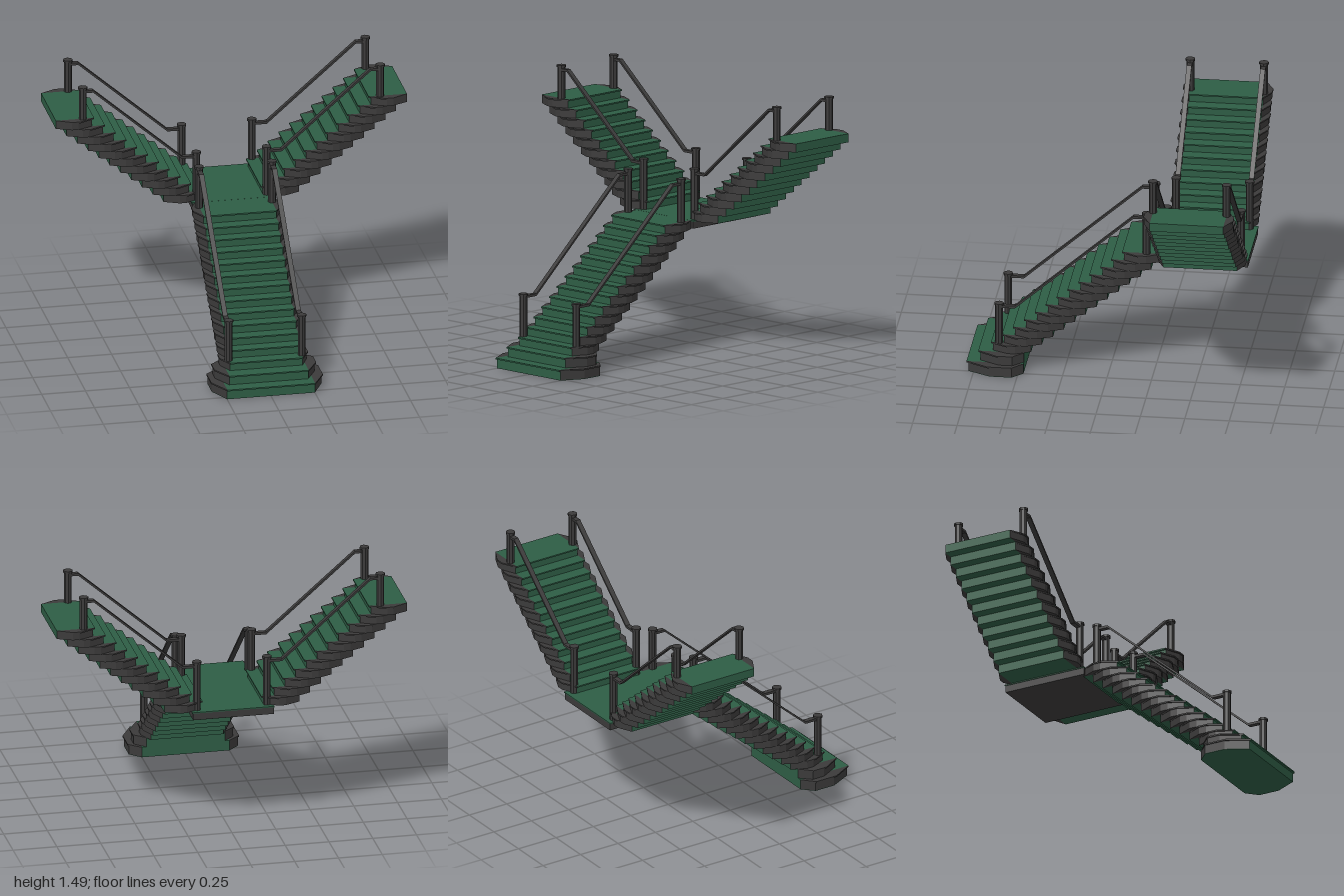
import * as THREE from 'three';

const green = new THREE.MeshStandardMaterial({ color: 0x2e5d45 });
green.name = 'green runner';
const dark = new THREE.MeshStandardMaterial({ color: 0x3b3a3a });
dark.name = 'dark frame';

function add(parent, name, geometry, material) {
  const mesh = new THREE.Mesh(geometry, material);
  mesh.name = name;
  parent.add(mesh);
  return mesh;
}

// Slab with a green middle and dark chamfered ends; its front faces +z
function slab(parent, name, s) {
  const { y0, y1, front, back, inner, outer, cf, cb, endMaterial = dark } = s;
  const h = y1 - y0;
  const mid = add(parent, name, new THREE.BoxGeometry(inner * 2, h, front - back), green);
  mid.position.set(0, (y0 + y1) / 2, (front + back) / 2);
  for (const side of [-1, 1]) {
    const plan = new THREE.Shape([
      [inner, front], [outer, front - cf], [outer, back + cb], [inner, back],
    ].map(([x, z]) => new THREE.Vector2(side * x, -z)));
    const geo = new THREE.ExtrudeGeometry(plan, { depth: h, bevelEnabled: false });
    geo.rotateX(-Math.PI / 2).translate(0, y0, 0);
    add(parent, name + 'End', geo, endMaterial);
  }
}

// Step: a body with a thin tread overhanging its front and sides
function step(parent, s) {
  const lip = 0.008, over = 0.012;
  slab(parent, 'riser', { ...s, y1: s.y1 - lip, front: s.front - over, outer: s.outer - over / 2 });
  slab(parent, 'tread', { ...s, y0: s.y1 - lip });
}

// Evenly climbing run of steps, going towards -z
function steps(parent, count, y, rise, front, run, depth) {
  for (let i = 0; i < count; i++) {
    step(parent, {
      y0: y + i * rise, y1: y + (i + 1) * rise,
      front: front - i * run, back: front - i * run - depth,
      inner: 0.207, outer: 0.252, cf: 0.085, cb: 0.085,
    });
  }
}

// Eight-sided post with a small cap
function post(parent, x, z, y0, y1) {
  const shaft = add(parent, 'post', new THREE.CylinderGeometry(0.022, 0.022, y1 - y0, 8), dark);
  shaft.position.set(x, (y0 + y1) / 2, z);
  const cap = add(parent, 'postCap', new THREE.CylinderGeometry(0.027, 0.027, 0.012, 8), dark);
  cap.position.set(x, y1 - 0.006, z);
  dark.flatShading = true;
}

// Flat handrail that follows [distance, height] points
function rail(parent, x, points) {
  const t = 0.007, width = 0.028;
  const lower = points.map(([d, y]) => new THREE.Vector2(d, y - t));
  const upper = points.map(([d, y]) => new THREE.Vector2(d, y + t)).reverse();
  const geo = new THREE.ExtrudeGeometry(new THREE.Shape([...lower, ...upper]),
    { depth: width, bevelEnabled: false });
  geo.translate(0, 0, -width / 2).rotateY(Math.PI / 2).translate(x, 0, 0);
  add(parent, 'handrail', geo, dark);
}

export function createModel() {
  const model = new THREE.Group();
  model.name = 'splitStaircase';

  // Main flight with two wide starting steps
  const main = new THREE.Group();
  main.name = 'mainFlight';
  step(main, { y0: 0.003, y1: 0.06, front: 0.79, back: 0.47, inner: 0.25, outer: 0.318, cf: 0.125, cb: 0.06 });
  slab(main, 'base', {
    y0: 0, y1: 0.003, front: 0.778, back: 0.47, inner: 0.25, outer: 0.312, cf: 0.125, cb: 0.06,
    endMaterial: green,
  });
  step(main, { y0: 0.06, y1: 0.116, front: 0.727, back: 0.47, inner: 0.225, outer: 0.29, cf: 0.11, cb: 0.06 });
  steps(main, 13, 0.116, 0.0492, 0.657, 0.0614, 0.225);
  for (const x of [-0.208, 0.208]) {
    post(main, x, 0.612, 0.16, 0.408);
    post(main, x, -0.218, 0.75, 1.003);
    rail(main, x, [[-0.612, 0.39], [-0.522, 0.39], [0.145, 0.975], [0.218, 0.975]]);
  }
  model.add(main);

  // Landing
  const base = add(model, 'landingBase', new THREE.BoxGeometry(0.46, 0.04, 0.5), dark);
  base.position.set(0, 0.73, -0.54);
  const top = add(model, 'landingTop', new THREE.BoxGeometry(0.47, 0.006, 0.505), green);
  top.position.set(0, 0.753, -0.54);

  // Side flights, climbing away from the landing
  for (const side of [-1, 1]) {
    const flight = new THREE.Group();
    flight.name = side > 0 ? 'leftFlight' : 'rightFlight';
    steps(flight, 11, 0.755, 0.0491, -0.168, 0.0614, 0.218);
    for (const x of [-0.207, 0.207]) {
      post(flight, x, -0.2, 0.755, 1.045);
      post(flight, x, -0.847, 1.29, 1.486);
      rail(flight, x, [[0.2, 1.018], [0.283, 1.018], [0.79, 1.46], [0.847, 1.46]]);
    }
    flight.rotation.y = -side * Math.PI / 2;
    flight.position.z = -0.54;
    model.add(flight);
  }
  return model;
}
